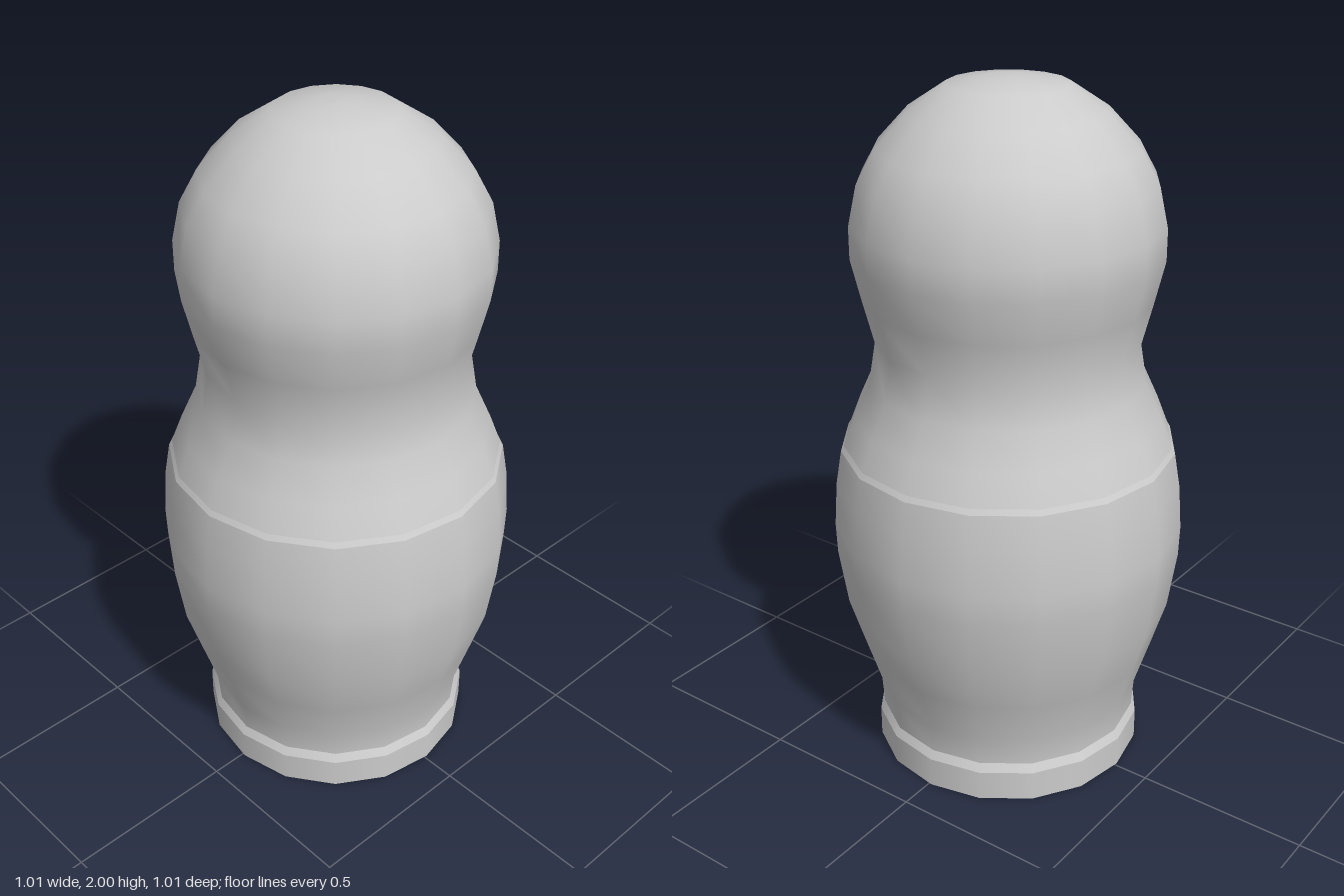
import * as THREE from 'three';

const SIDES = 16;
const TURN = 0.022; // slight rotation of the facets about the vertical axis

export function createModel() {
  const doll = new THREE.Group();
  doll.name = 'nestingDoll';
  const material = new THREE.MeshStandardMaterial({ color: 0xcccccc });

  // Each part is a smooth turned profile of [radius, height], bottom to top
  const turned = (name, profile) => {
    const points = profile.map(([r, y]) => new THREE.Vector2(r, y));
    const mesh = new THREE.Mesh(new THREE.LatheGeometry(points, SIDES, TURN), material);
    mesh.name = name;
    doll.add(mesh);
  };

  // Foot: flat underside, straight rim and a small ledge
  turned('footUnderside', [[0, 0], [0.395, 0]]);
  turned('footRim', [[0.395, 0], [0.395, 0.09]]);
  turned('footLedge', [[0.395, 0.09], [0.382, 0.115]]);

  // Lower half, swelling to the belly
  turned('lowerBody', [
    [0.382, 0.115], [0.388, 0.2], [0.432, 0.34], [0.475, 0.48], [0.5, 0.65],
    [0.503, 0.74], [0.494, 0.87], [0.477, 0.97],
  ]);

  // Narrow lip where the two halves meet
  turned('seamLip', [[0.477, 0.97], [0.468, 0.985]]);

  // Upper half: shoulders, neck and rounded head
  turned('upperBodyAndHead', [
    [0.468, 0.985], [0.435, 1.07], [0.39, 1.17], [0.37, 1.29], [0.4, 1.41], [0.428, 1.53],
    [0.428, 1.62], [0.404, 1.73], [0.355, 1.82], [0.27, 1.912], [0.165, 1.982], [0.06, 1.998], [0, 2],
  ]);

  return doll;
}
